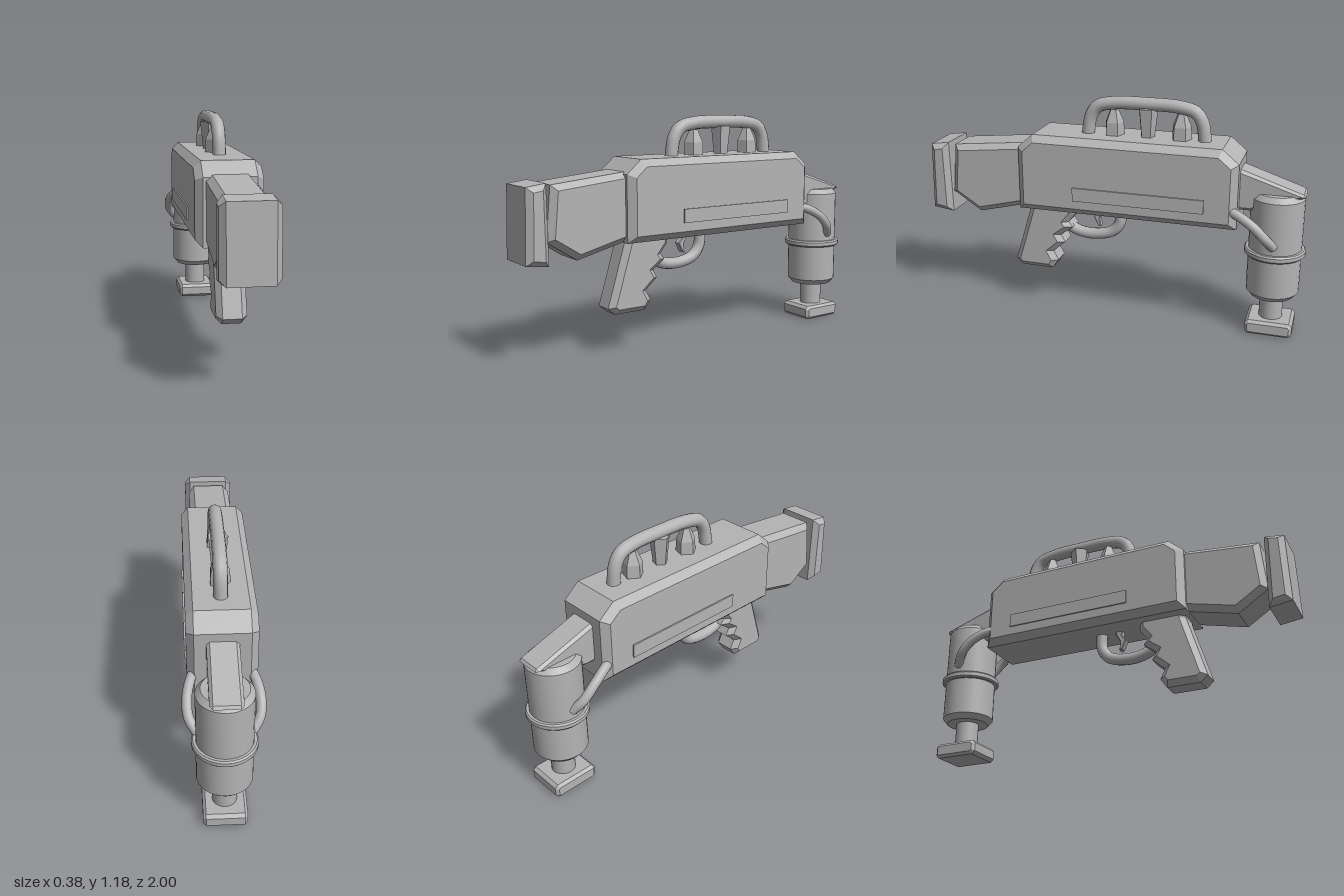
import * as THREE from 'three';
import { toCreasedNormals } from 'three/addons/utils/BufferGeometryUtils.js';

export function createModel() {
  const model = new THREE.Group();
  const gray = new THREE.MeshStandardMaterial({ color: 0xb4b4b4 });

  function add(name, geometry, x = 0, y = 0, z = 0) {
    const mesh = new THREE.Mesh(geometry, gray);
    mesh.name = name;
    mesh.position.set(x, y, z);
    model.add(mesh);
    return mesh;
  }

  // Side outline given as [z, y], extruded across x with chamfered rims
  function slab(outline, half, bevel) {
    const shape = new THREE.Shape(outline.map(([z, y]) => new THREE.Vector2(z, y)));
    const depth = 2 * (half - bevel);
    const geometry = new THREE.ExtrudeGeometry(shape, {
      depth, bevelEnabled: true, bevelSize: bevel, bevelThickness: bevel,
      bevelOffset: -bevel, bevelSegments: 1,
    });
    return geometry.translate(0, 0, -depth / 2).rotateY(-Math.PI / 2);
  }

  function turned(points, sides = 32) {
    const profile = points.map(([r, y]) => new THREE.Vector2(r, y));
    return toCreasedNormals(new THREE.LatheGeometry(profile, sides), 0.45);
  }

  function tube(points, radius, segments = 40) {
    const curve = new THREE.CatmullRomCurve3(points.map((p) => new THREE.Vector3(...p)));
    return new THREE.TubeGeometry(curve, segments, radius, 12);
  }

  // Main body and raised side panels
  add('body', slab([
    [0.48, 0.575], [0.48, 0.91], [0.40, 0.98], [-0.58, 0.98],
    [-0.665, 0.91], [-0.665, 0.575],
  ], 0.165, 0.035));
  for (const s of [1, -1]) {
    add('sidePanel', new THREE.BoxGeometry(0.009, 0.07, 0.68), s * 0.168, 0.69, -0.165);
  }

  // Stock and butt plate
  add('stock', slab([
    [0.45, 0.585], [0.73, 0.515], [0.885, 0.615], [0.86, 0.88], [0.45, 0.922],
  ], 0.115, 0.03));
  add('buttPlate', slab([
    [0.885, 0.505], [1.0, 0.52], [0.99, 0.878], [0.89, 0.892],
  ], 0.135, 0.028));

  // Grip with finger notches
  add('grip', slab([
    [0.46, 0.61], [0.45, 0.565], [0.548, 0.243], [0.51, 0.21], [0.337, 0.21],
    [0.303, 0.26], [0.33, 0.31], [0.262, 0.37], [0.285, 0.41], [0.218, 0.46],
    [0.24, 0.49], [0.2, 0.54], [0.2, 0.61],
  ], 0.075, 0.028));

  // Trigger and its guard
  add('triggerGuard', tube([
    [0, 0.60, -0.035], [0, 0.50, -0.033], [0, 0.445, 0.01], [0, 0.42, 0.11],
    [0, 0.43, 0.2], [0, 0.465, 0.27],
  ], 0.03));
  add('trigger', slab([
    [0.05, 0.60], [0.05, 0.565], [0.075, 0.52], [0.07, 0.47], [0.085, 0.475],
    [0.108, 0.525], [0.085, 0.55], [0.09, 0.60],
  ], 0.02, 0.004));

  // Carry handle
  add('carryHandle', tube([
    [0, 0.96, 0.142], [0, 1.07, 0.122], [0, 1.12, 0.085], [0, 1.142, 0],
    [0, 1.147, -0.17], [0, 1.142, -0.34], [0, 1.12, -0.42],
    [0, 1.07, -0.455], [0, 0.96, -0.472],
  ], 0.034, 64));

  // Three five-sided knobs under the handle
  const pointed = [[0, 0], [0.053, 0], [0.05, 0.07], [0.022, 0.135], [0, 0.135]];
  const flared = [[0, 0], [0.037, 0], [0.053, 0.15], [0, 0.155]];
  [[0.0, pointed], [-0.175, flared], [-0.35, pointed]].forEach(([z, profile]) => {
    const knob = new THREE.LatheGeometry(
      profile.map(([r, y]) => new THREE.Vector2(r, y)), 5);
    add('knob', toCreasedNormals(knob, 0.1), 0, 0.975, z).rotation.y = -Math.PI / 2;
  });

  // Sloped bracket reaching over the canister
  add('bracket', slab([
    [-0.62, 0.885], [-0.665, 0.868], [-0.975, 0.765], [-0.985, 0.75],
    [-0.80, 0.69], [-0.72, 0.66], [-0.62, 0.66],
  ], 0.075, 0.015));

  // Canister, band and neck
  const cz = -0.848;
  add('canister', turned([
    [0, 0.2], [0.11, 0.2], [0.134, 0.228], [0.134, 0.728], [0.11, 0.755], [0, 0.755],
  ]), 0, 0, cz);
  add('canisterBand', turned([
    [0.13, 0.425], [0.147, 0.425], [0.154, 0.433], [0.154, 0.452],
    [0.147, 0.46], [0.13, 0.46],
  ]), 0, 0, cz);
  add('neck', new THREE.CylinderGeometry(0.06, 0.06, 0.16, 24), 0, 0.14, cz);

  // Square foot with chamfered edges
  add('foot', slab([
    [-0.968, 0.016], [-0.952, 0], [-0.744, 0], [-0.728, 0.016],
    [-0.728, 0.06], [-0.744, 0.076], [-0.952, 0.076], [-0.968, 0.06],
  ], 0.106, 0.014));

  // Hoses from the body to the canister
  for (const s of [1, -1]) {
    add('hose', tube([
      [s * 0.125, 0.675, -0.61], [s * 0.15, 0.66, -0.67], [s * 0.168, 0.615, -0.75],
      [s * 0.162, 0.555, -0.81], [s * 0.125, 0.5, -0.85],
    ], 0.024));
  }

  return model;
}
